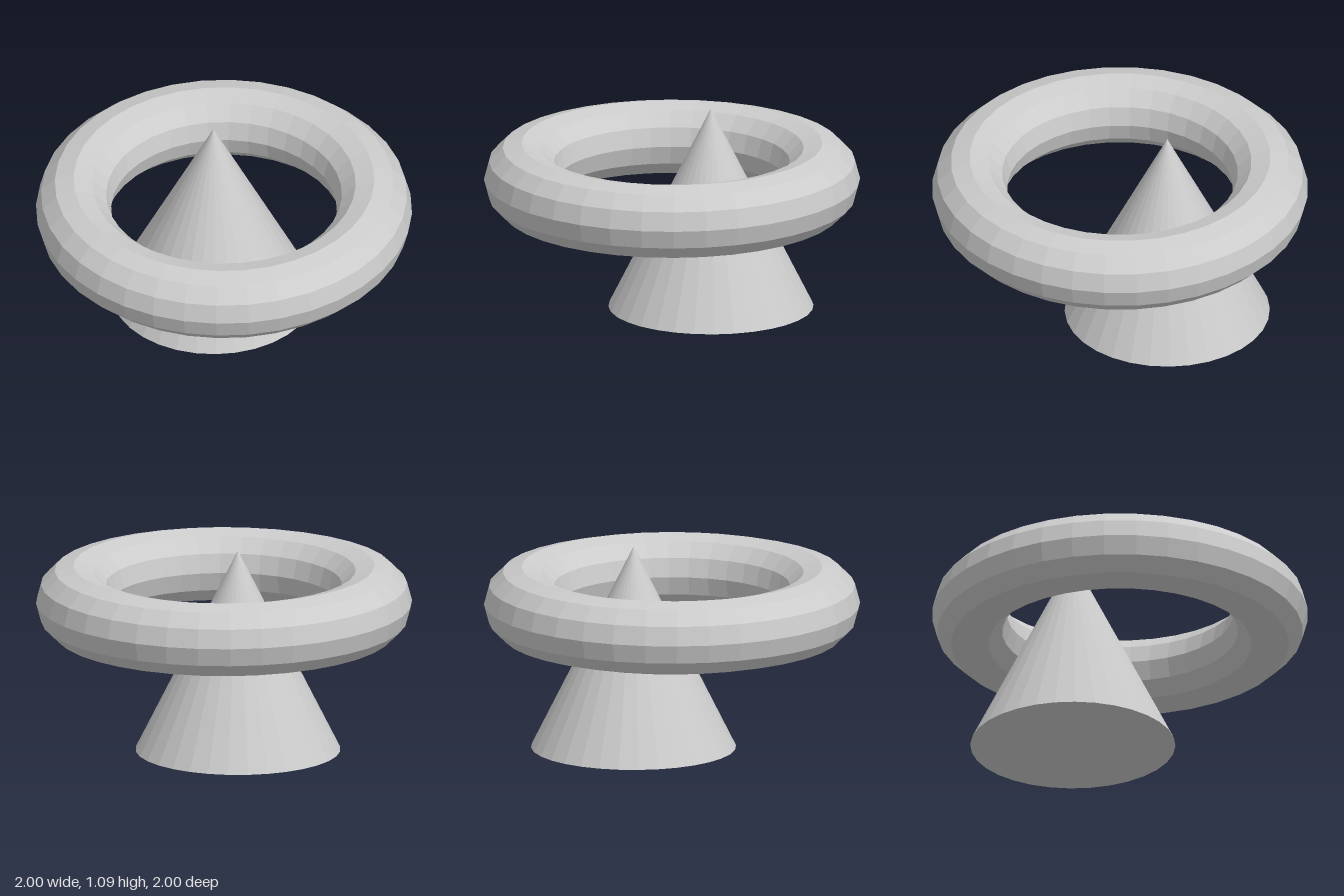
import * as THREE from 'three';

export function createModel() {
  const group = new THREE.Group();
  const material = new THREE.MeshStandardMaterial({ color: 0xcccccc, flatShading: true });

  const addPart = (name, geometry, x, y, z) => {
    const mesh = new THREE.Mesh(geometry, material);
    mesh.name = name;
    mesh.position.set(x, y, z);
    group.add(mesh);
  };

  // Off-centre cone standing on the ground
  const coneHeight = 1.091;
  addPart('cone', new THREE.ConeGeometry(0.5455, coneHeight, 32), -0.18, coneHeight / 2, -0.18);

  // Horizontal ring resting against the cone
  const ring = new THREE.TorusGeometry(0.8, 0.2, 12, 36).rotateX(-Math.PI / 2);
  addPart('ring', ring, 0, 0.7455, 0);

  return group;
}
